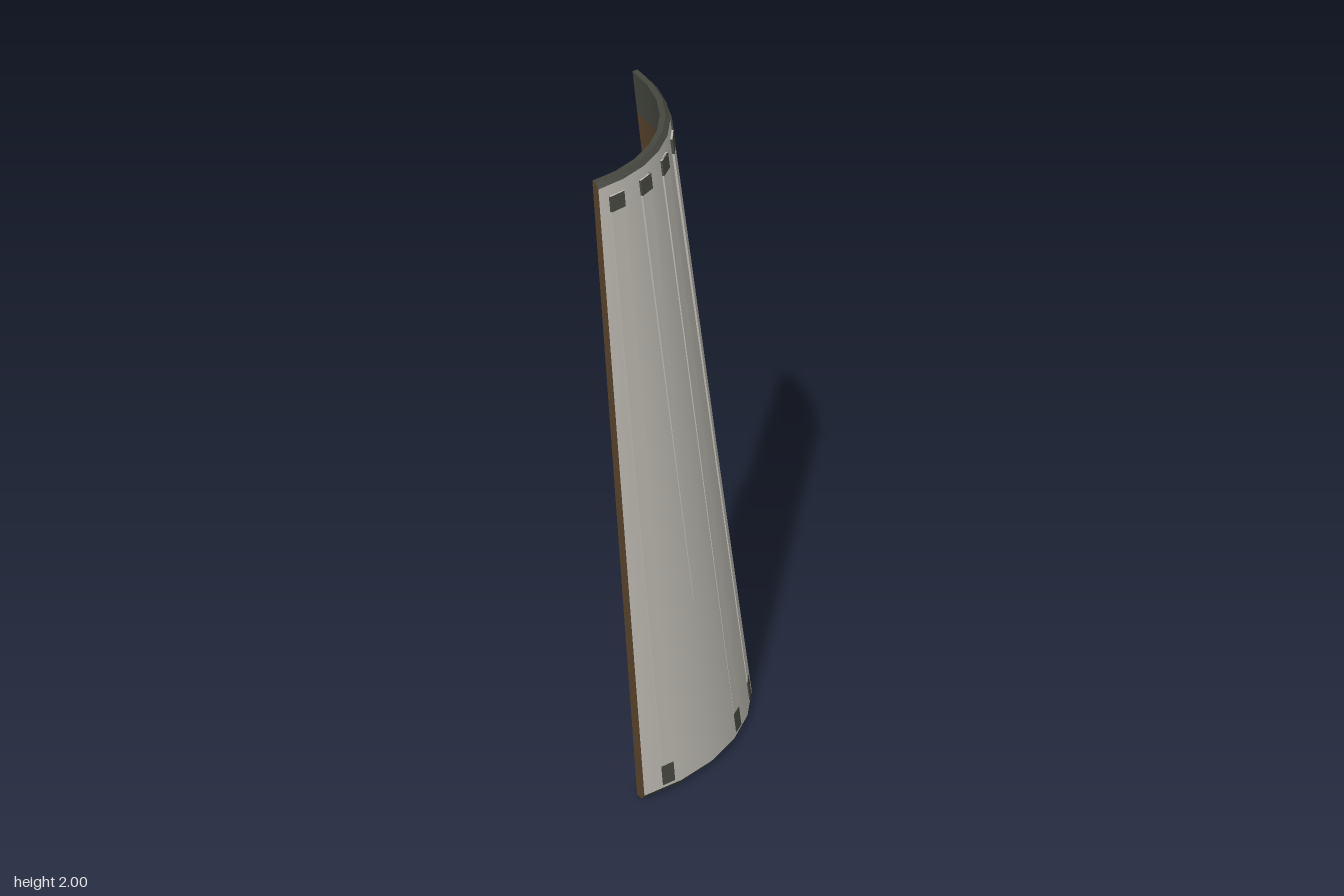
import * as THREE from 'three';

const AXIS_X = -0.53;            // cone axis, the panel is a quarter of the cone
const SEGMENTS = 8;
const R_BOTTOM = 0.735, R_TOP = 0.49;
const outerRadius = (y) => R_BOTTOM + (R_TOP - R_BOTTOM) * (y / 2);
const innerRadius = (y) => 0.695 + (0.46 - 0.695) * (y / 2);

export function createModel() {
  const material = (name, color, side = THREE.FrontSide) => {
    const m = new THREE.MeshStandardMaterial({ color, side });
    m.name = name;
    return m;
  };
  const paleGrey = material('pale grey', 0xbab7af);
  const darkGrey = material('dark grey', 0x45473f);
  const brown = material('dark brown', 0x58432a, THREE.DoubleSide);

  const model = new THREE.Group();
  model.name = 'conePanel';
  const panel = new THREE.Group();
  panel.name = 'panel';
  panel.position.x = AXIS_X;
  model.add(panel);

  const add = (name, geometry, mat, angle = 0) => {
    const mesh = new THREE.Mesh(geometry, mat);
    mesh.name = name;
    mesh.rotation.y = angle;
    panel.add(mesh);
    return mesh;
  };

  // Quarter-turn surface through a profile of [radius, y]
  const arc = (name, profile, mat) => add(name, new THREE.LatheGeometry(
    profile.map(([r, y]) => new THREE.Vector2(r, y)), SEGMENTS, Math.PI / 4, Math.PI / 2), mat);

  // Cross-section corners, counter-clockwise from the inner bottom
  const innerBottom = [innerRadius(0), 0];
  const chamferBottom = [0.722, 0];
  const outerBottom = [outerRadius(0.015), 0.015];
  const outerTop = [outerRadius(1.985), 1.985];
  const chamferTop = [0.478, 2];
  const innerTop = [innerRadius(2), 2];
  const innerBand = [innerRadius(1.85), 1.85];

  // Curved skins and edge trims
  arc('outerSkin', [outerBottom, outerTop], paleGrey);
  arc('bottomEdge', [innerBottom, chamferBottom], darkGrey);
  arc('bottomChamfer', [chamferBottom, outerBottom], darkGrey);
  arc('topChamfer', [outerTop, chamferTop], darkGrey);
  arc('topEdge', [chamferTop, innerTop], darkGrey);
  arc('innerTopBand', [innerTop, innerBand], darkGrey);
  arc('innerSkin', [innerBand, innerBottom], brown);

  // Flat side edges
  const section = new THREE.Shape([innerBottom, chamferBottom, outerBottom, outerTop, chamferTop, innerTop]
    .map(([r, y]) => new THREE.Vector2(r, y)));
  add('leftSideEdge', new THREE.ShapeGeometry(section), brown, -Math.PI / 4);
  add('rightSideEdge', new THREE.ShapeGeometry(section), brown, Math.PI / 4);

  // Slanted, tapered bar that follows the outer skin between two heights
  const bar = (y0, y1, w0, w1, lift) => {
    const g = new THREE.BoxGeometry(1, 1, 1);
    const p = g.attributes.position;
    for (let i = 0; i < p.count; i++) {
      const t = p.getY(i) + 0.5;
      const y = y0 + (y1 - y0) * t;
      const depth = p.getX(i) > 0 ? 0 : 0.012;
      p.setXYZ(i, outerRadius(y) + lift(y) - depth, y, p.getZ(i) * (w0 + (w1 - w0) * t));
    }
    g.computeVertexNormals();
    return g;
  };
  const ribLift = (y) => -0.0018 + 0.003 * y;
  const blockLift = (y) => ribLift(y) + 0.0012;

  // Six ribs; the pair on the skin's ridges fades to a point partway down
  for (const side of [-1, 1]) {
    for (const degrees of [7.5, 22.5, 37.5]) {
      const angle = side * THREE.MathUtils.degToRad(degrees);
      const fading = degrees === 22.5;
      add('rib', fading
        ? bar(0.55, 1.95, 0.001, 0.055, (y) => 0.0005 + 0.0018 * y)
        : bar(0.03, 1.95, 0.045, 0.055, ribLift), paleGrey, angle);
      add('topBlock', bar(1.9, 1.95, 0.055, 0.055, blockLift), darkGrey, angle);
      if (!fading) add('bottomBlock', bar(0.025, 0.085, 0.046, 0.046, blockLift), darkGrey, angle);
    }
  }
  return model;
}
